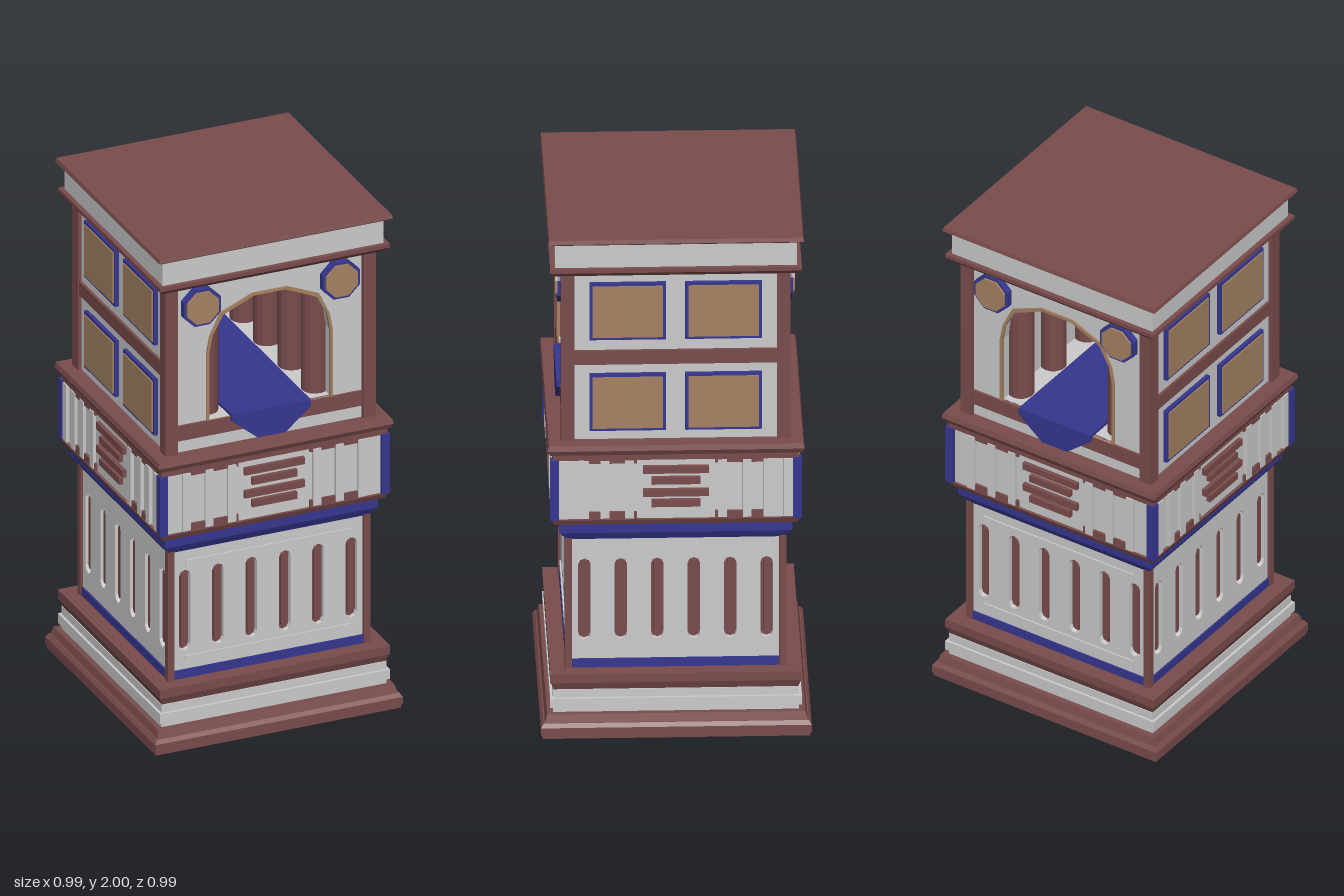
import * as THREE from 'three';

const mat = (color) => new THREE.MeshStandardMaterial({ color, flatShading: true });
const GREY = mat(0xcccccc), BROWN = mat(0x7a4c4c), BLUE = mat(0x363690), GOLD = mat(0xa58262);

function add(parent, name, geo, material, x = 0, y = 0, z = 0) {
  const m = new THREE.Mesh(geo, material);
  m.name = name;
  m.position.set(x, y, z);
  parent.add(m);
  return m;
}
const box = (p, name, m, w, h, d, x, y, z) => add(p, name, new THREE.BoxGeometry(w, h, d), m, x, y, z);

// Square moulding from y0 to y1 with half widths a (bottom) and b (top)
function tier(p, name, m, y0, y1, a, b = a) {
  const g = new THREE.CylinderGeometry(b * Math.SQRT2, a * Math.SQRT2, y1 - y0, 4);
  g.rotateY(Math.PI / 4);
  add(p, name, g, m, 0, (y0 + y1) / 2, 0);
}
const polygon = (pts) => pts.map(([x, y]) => new THREE.Vector2(x, y));
const rect = (w, y0, y1) => polygon([[-w, y0], [w, y0], [w, y1], [-w, y1]]);
const extrude = (shape, depth) => new THREE.ExtrudeGeometry(shape, { depth, bevelEnabled: false, curveSegments: 6 });

// Slot outline with faceted round ends
function slot(cx, r, y0, y1) {
  const pts = [];
  for (let i = 0; i <= 4; i++) pts.push([cx + r * Math.cos(i * Math.PI / 4), y1 - r + r * Math.sin(i * Math.PI / 4)]);
  for (let i = 4; i <= 8; i++) pts.push([cx + r * Math.cos(i * Math.PI / 4), y0 + r + r * Math.sin(i * Math.PI / 4)]);
  return polygon(pts);
}
// Arched opening, grown by e
function arch(e = 0) {
  const half = [[0.245 + e, 1.28], [0.245 + e, 1.55], [0.232 + e, 1.62], [0.19 + e, 1.7 + e], [0.065 + e / 2, 1.755 + e]];
  return polygon([...half, ...half.map(([x, y]) => [-x, y]).reverse()]);
}
// Run a builder on each of the given faces (0 front, 1 left, 2 back, 3 right)
function onFaces(root, name, faces, build) {
  for (const f of faces) {
    const g = new THREE.Group();
    g.name = name;
    g.rotation.y = f * Math.PI / 2;
    build(g, f);
    root.add(g);
  }
}
const ALL = [0, 1, 2, 3], ENDS = [0, 2], SIDES = [1, 3];

export function createModel() {
  const root = new THREE.Group();
  root.name = 'tower';

  // Stepped base, shaft core, crown mouldings, cornices and roof
  const tiers = [
    ['baseStep', BROWN, 0, 0.015, 0.49], ['baseStep', BROWN, 0.015, 0.045, 0.495],
    ['baseStep', BROWN, 0.045, 0.06, 0.495, 0.485], ['baseStep', BROWN, 0.06, 0.09, 0.48, 0.472],
    ['plinth', GREY, 0.09, 0.18, 0.45], ['plinthBand', GREY, 0.11, 0.148, 0.46],
    ['plinthCap', BROWN, 0.175, 0.21, 0.445, 0.458], ['plinthCap', BROWN, 0.21, 0.245, 0.46],
    ['shaftCore', BROWN, 0.24, 0.77, 0.375],
    ['crownLower', BLUE, 0.765, 0.785, 0.402, 0.412], ['crownMiddle', BLUE, 0.785, 0.8, 0.415, 0.422],
    ['crownUpper', BLUE, 0.8, 0.845, 0.426],
    ['friezeFoot', BROWN, 0.843, 0.865, 0.445, 0.455], ['frieze', GREY, 0.865, 1.11, 0.443],
    ['cornice', BROWN, 1.105, 1.13, 0.452], ['cornice', BROWN, 1.13, 1.15, 0.46, 0.47],
    ['cornice', BROWN, 1.15, 1.17, 0.47, 0.465],
    ['roofFoot', BROWN, 1.85, 1.865, 0.448, 0.46], ['roofFoot', BROWN, 1.865, 1.88, 0.46],
    ['roofBand', GREY, 1.88, 1.98, 0.442],
    ['roofEdge', BROWN, 1.975, 1.985, 0.453, 0.46], ['roofEdge', BROWN, 1.985, 2.0, 0.468, 0.464],
  ];
  for (const t of tiers) tier(root, ...t);

  // Corner posts of all three storeys
  for (const sx of [-1, 1]) for (const sz of [-1, 1]) {
    box(root, 'shaftPost', BROWN, 0.026, 0.53, 0.026, sx * 0.392, 0.505, sz * 0.392);
    box(root, 'friezeCorner', BLUE, 0.032, 0.242, 0.032, sx * 0.444, 0.987, sz * 0.444);
    box(root, 'roomPost', BROWN, 0.05, 0.68, 0.05, sx * 0.395, 1.51, sz * 0.395);
  }

  // Fluted shaft panels with ribs inside the slots
  const fluteX = [-0.333, -0.2, -0.067, 0.067, 0.2, 0.333];
  onFaces(root, 'shaftPanel', ALL, (g, f) => {
    const shape = new THREE.Shape(rect(0.385, 0.245, 0.77));
    for (const x of fluteX) shape.holes.push(new THREE.Path(slot(x, 0.023, 0.355, 0.682)));
    add(g, 'flutedPanel', extrude(shape, 0.025), GREY, 0, 0, 0.37);
    for (const x of fluteX) add(g, 'fluteRib', extrude(new THREE.Shape(slot(x, 0.012, 0.37, 0.667)), 0.018), BROWN, 0, 0, 0.37);
    box(g, 'footStrip', BLUE, 0.758, 0.035, 0.02, 0, 0.262, 0.391);
    if (f % 2 === 0) for (const y of [0.323, 0.711]) box(g, 'panelStrip', GREY, 0.66, 0.022, 0.01, 0, y, 0.396);
  });

  // Frieze: slats over rails, with stacked bars in the middle
  onFaces(root, 'friezeFace', ALL, (g, f) => {
    const slats = f % 2 ? [0.17, 0.26, 0.335, 0.41] : [0.17, 0.26, 0.35];
    for (const s of [-1, 1]) {
      for (const x of slats) box(g, 'slat', GREY, 0.032, 0.232, 0.014, s * x, 0.987, 0.449);
      for (const y of [0.88, 1.1]) box(g, 'friezeRail', BROWN, 0.195, y < 1 ? 0.03 : 0.018, 0.01, s * 0.24, y, 0.447);
    }
    [0.93, 0.972, 1.021, 1.065].forEach((y, i) =>
      box(g, 'friezeBar', BROWN, i % 2 ? 0.24 : 0.18, 0.028, 0.018, 0, y, 0.45));
    g.children.filter((c) => c.name === 'friezeBar').forEach((c, i) => { c.scale.x = i === 2 ? 1 : c.scale.x; });
  });

  // Room with an arched passage from front to back
  const room = new THREE.Shape(rect(0.405, 1.165, 1.855));
  room.holes.push(new THREE.Path(arch()));
  add(root, 'archedRoom', extrude(room, 0.81), GREY, 0, 0, -0.405);

  // Columns along the passage walls
  for (const x of [-0.22, 0.22]) for (const z of [-0.32, -0.11, 0.11, 0.32])
    add(root, 'column', new THREE.CylinderGeometry(0.05, 0.05, 0.4, 16), BROWN, x, 1.48, z);

  // Tapered counter running through the passage
  const counter = new THREE.Shape(polygon([[-0.055, 1.18], [0.055, 1.18], [0.158, 1.265], [0.158, 1.292], [-0.158, 1.292], [-0.158, 1.265]]));
  add(root, 'counter', extrude(counter, 0.856), BLUE, 0, 0, -0.428);

  // Arch trim, sill and octagonal medallions
  onFaces(root, 'archFace', ENDS, (g) => {
    const trim = new THREE.Shape(arch(0.008));
    trim.holes.push(new THREE.Path(arch(-0.003)));
    add(g, 'archTrim', extrude(trim, 0.012), GOLD, 0, 0, 0.4);
    box(g, 'sill', BROWN, 0.75, 0.06, 0.02, 0, 1.25, 0.405);
    for (const x of [-0.278, 0.278]) {
      for (const [name, m, r, d] of [['medallionRim', BLUE, 0.08, 0.03], ['medallionFace', GOLD, 0.068, 0.038]]) {
        const oct = new THREE.CylinderGeometry(r, r, d, 8);
        oct.rotateY(Math.PI / 8).rotateX(Math.PI / 2);
        add(g, name, oct, m, x, 1.755, 0.4 + d / 2);
      }
    }
  });

  // Side walls: middle rail and four framed panels
  onFaces(root, 'sideWall', SIDES, (g) => {
    box(g, 'middleRail', BROWN, 0.75, 0.056, 0.02, 0, 1.502, 0.405);
    for (const x of [-0.175, 0.175]) for (const y of [1.323, 1.69]) {
      box(g, 'panelFrame', BLUE, 0.28, 0.228, 0.02, x, y, 0.41);
      box(g, 'framedPanel', GOLD, 0.258, 0.206, 0.02, x, y, 0.415);
    }
  });

  return root;
}
